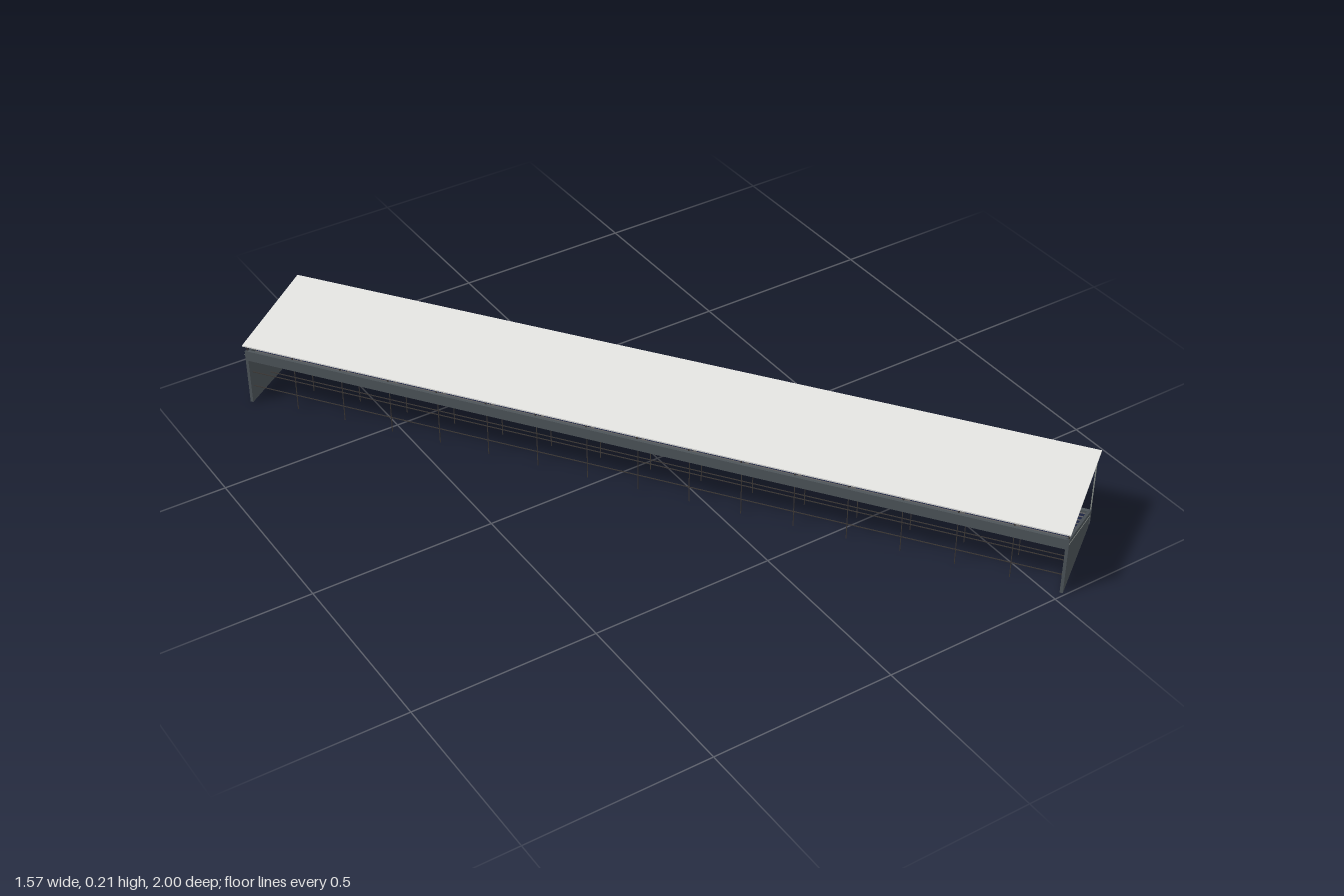
import * as THREE from 'three';

const mat = (name, color) => Object.assign(new THREE.MeshStandardMaterial({ color }), { name });

export function createModel() {
  const wall = mat('wall grey', 0x4c5358);
  const terrace = mat('terrace grey', 0x5c5b5b);
  const seat = mat('seat navy', 0x1c2440);
  const roofGrey = mat('roof grey', 0xe2e2df);
  const steel = mat('dark steel', 0x3a3634);
  const postGrey = mat('post grey', 0x868c88);

  // Local frame: x runs along the stand, +z is the open, seated side
  const stand = new THREE.Group();
  stand.name = 'grandstand';
  const HALF = 1.115, BACK = -0.155, FRONT = 0.141, BAYS = 16, BAY = 2.236 / BAYS;

  const box = (parent, name, m, w, h, d, x, y, z) => {
    const mesh = new THREE.Mesh(new THREE.BoxGeometry(w, h, d), m);
    mesh.name = name;
    mesh.position.set(x, y, z);
    parent.add(mesh);
  };
  // Extrudes a (z, y) profile along x, centred on the given x
  const slab = (parent, name, m, points, width, x) => {
    const shape = new THREE.Shape(points.map(([z, y]) => new THREE.Vector2(z, y)));
    const geo = new THREE.ExtrudeGeometry(shape, { depth: width, bevelEnabled: false });
    geo.translate(0, 0, -width / 2);
    geo.rotateY(-Math.PI / 2);
    const mesh = new THREE.Mesh(geo, m);
    mesh.name = name;
    mesh.position.x = x;
    parent.add(mesh);
  };
  const group = (name) => {
    const g = new THREE.Group();
    g.name = name;
    stand.add(g);
    return g;
  };

  // End walls with sloping tops, stopping just short of the front wall, and a pale trim line
  const slopeY = (z) => 0.04 + 0.125 * (FRONT - z) / (FRONT - BACK);
  for (const s of [-1, 1]) {
    slab(stand, 'endWall', wall, [[BACK, 0], [0.119, 0], [0.119, 0.03], [FRONT, 0.03],
      [FRONT, 0.04], [BACK, 0.165]], 0.008, s * (HALF - 0.004));
    slab(stand, 'endTrim', postGrey, [[BACK, slopeY(BACK) - 0.013], [0.119, slopeY(0.119) - 0.013],
      [0.119, slopeY(0.119) - 0.011], [BACK, slopeY(BACK) - 0.011]], 0.001, s * (HALF + 0.0005));
  }
  // Front wall and rear parapet
  box(stand, 'frontWall', wall, 2 * HALF, 0.04, 0.01, 0, 0.02, FRONT - 0.005);
  box(stand, 'rearParapet', wall, 2 * HALF - 0.016, 0.03, 0.008, 0, 0.15, BACK + 0.004);

  // Stepped terrace with a sloping underside
  const ROWS = 8, Z0 = 0.131, DEPTH = 0.035, RISE = 0.0155;
  const steps = [[Z0, 0.018]];
  for (let i = 0; i < ROWS; i++) {
    const y = 0.018 + RISE * (i + 1);
    steps.push([Z0 - DEPTH * i, y], [Z0 - DEPTH * (i + 1), y]);
  }
  steps.push([Z0 - DEPTH * ROWS, 0.133]);
  slab(stand, 'terrace', terrace, steps, 2 * HALF - 0.016, 0);

  // Seat rows, one block per bay with aisles between
  const seats = group('seats');
  for (let i = 0; i < ROWS; i++) {
    const y = 0.018 + RISE * (i + 1), z = Z0 - DEPTH * (i + 0.6);
    for (let b = 0; b < BAYS; b++) {
      const x = (b - (BAYS - 1) / 2) * BAY;
      box(seats, 'seatBench', seat, BAY - 0.016, 0.006, 0.016, x, y + 0.003, z);
      box(seats, 'seatBack', seat, BAY - 0.016, 0.013, 0.004, x, y + 0.0065, z - 0.009);
    }
  }

  // Roof sheet, rising toward the front
  const roof = group('roof');
  roof.position.y = 0.198;
  roof.rotation.x = -Math.atan2(0.03, 0.32);
  box(roof, 'roofSheet', roofGrey, 2.236, 0.004, 0.321, 0, 0, 0);

  // Roof ribs, front and rear posts
  const frame = group('roofFrame');
  for (let i = 0; i <= BAYS; i++) {
    const x = THREE.MathUtils.clamp((i - BAYS / 2) * BAY, -HALF + 0.003, HALF - 0.003);
    slab(roof, 'roofRib', steel, [[-0.15, -0.011], [0.155, -0.004], [0.155, -0.001], [-0.15, -0.001]], 0.004, x);
    box(frame, 'frontPost', postGrey, 0.003, 0.175, 0.003, x, 0.12, FRONT + 0.002);
    box(frame, 'rearPost', steel, 0.003, 0.045, 0.003, x, 0.157, BACK + 0.01);
  }

  // Open scaffold under the terrace
  const scaffold = group('scaffold');
  for (const [z, h] of [[-0.14, 0.132], [-0.05, 0.09], [0.04, 0.055]]) {
    for (let i = 1; i < BAYS; i++) {
      box(scaffold, 'scaffoldPost', steel, 0.002, h, 0.002, (i - BAYS / 2) * BAY, h / 2, z);
    }
  }
  for (const [y, z] of [[0.045, -0.14], [0.09, -0.14], [0.03, -0.05]]) {
    box(scaffold, 'scaffoldRail', steel, 2 * HALF - 0.016, 0.002, 0.002, 0, y, z);
  }

  // Turn the stand to its diagonal heading
  stand.rotation.y = THREE.MathUtils.degToRad(126);
  const model = new THREE.Group();
  model.name = 'stadiumStand';
  model.add(stand);
  return model;
}
